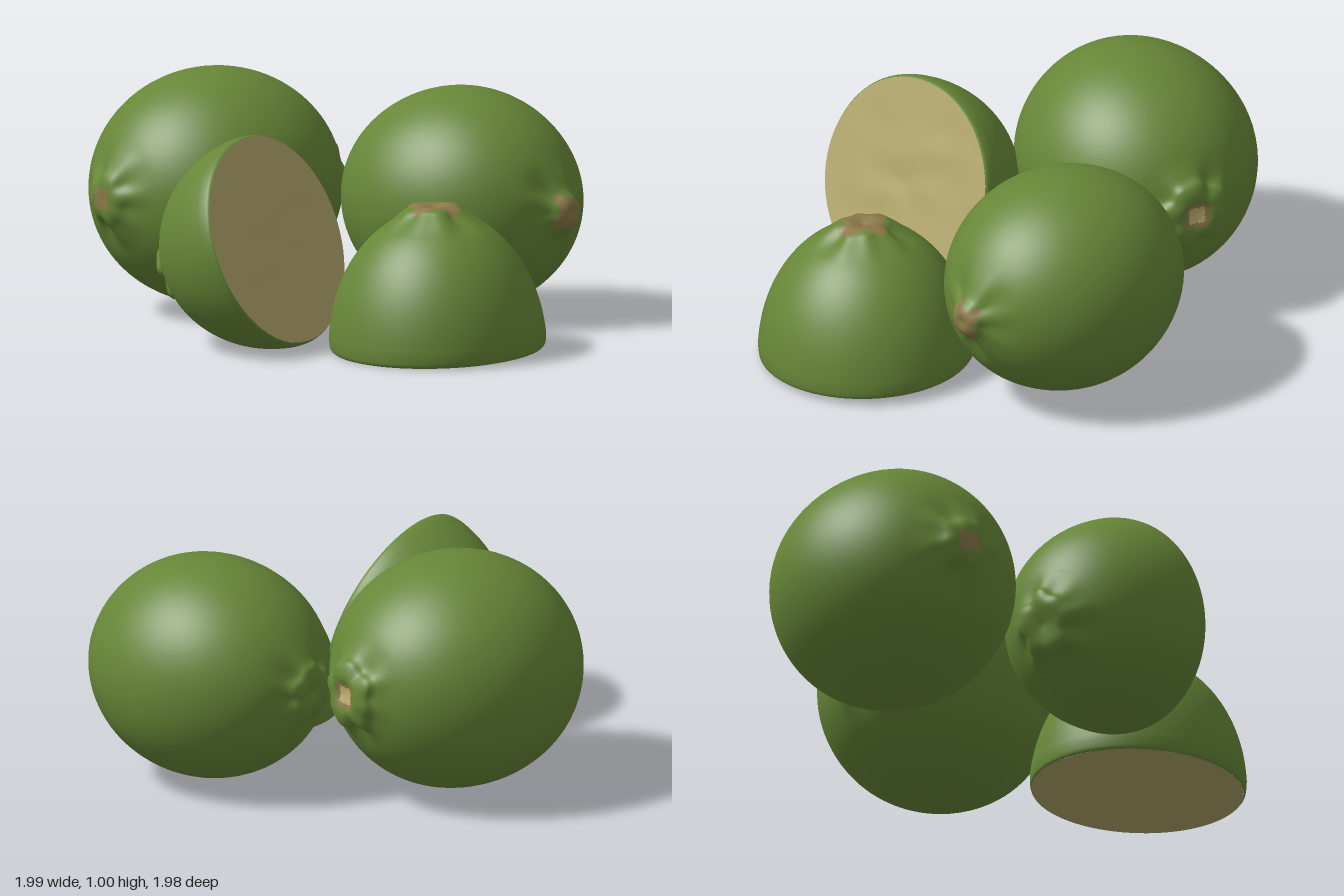
import * as THREE from 'three';
import { mergeVertices } from 'three/addons/utils/BufferGeometryUtils.js';

const mat = (name, color) => {
  const m = new THREE.MeshStandardMaterial({ color });
  m.name = name;
  return m;
};

export function createModel() {
  const peel = mat('green peel', 0x668637);
  const scar = mat('brown scar', 0x8a7848);
  const cream = mat('cream stem', 0xc3b474);
  const flesh = mat('pale flesh', 0xb3a66b);
  const model = new THREE.Group();
  model.name = 'limes';

  // Elliptic body profile, closed at each end by its own knob points [r, y]
  function profile({ a, b, top, bottom, half }) {
    const end = Math.acos(0.2 / b);
    const start = half ? 0.09 : -end;
    const pts = bottom.map(p => new THREE.Vector2(...p));
    for (let i = 0; i <= 16; i++) {
      const t = start + (end - start) * i / 16;
      pts.push(new THREE.Vector2(b * Math.cos(t), a * Math.sin(t)));
    }
    top.forEach(p => pts.push(new THREE.Vector2(...p)));
    const curve = new THREE.SplineCurve(pts).getPoints(90);
    curve.forEach(p => { p.x = Math.max(p.x, 0); });
    curve[curve.length - 1].x = 0;
    return curve;
  }

  // Peel: lathe with soft unevenness and pleats around the knobs
  function peelMesh(o) {
    let geo = new THREE.LatheGeometry(profile(o), 80);
    const p = geo.attributes.position;
    const v = new THREE.Vector3();
    for (let i = 0; i < p.count; i++) {
      v.fromBufferAttribute(p, i);
      const r = Math.hypot(v.x, v.z), f = Math.atan2(v.z, v.x) + o.seed;
      const nearEnd = Math.abs(v.y) > o.a * 0.75 ? Math.exp(-(((r - 0.13) / 0.06) ** 2)) : 0;
      const pleat = nearEnd * (0.07 * Math.sin(5 * f) + 0.05 * Math.sin(8 * f + 1));
      const k = 1 + pleat + 0.004 * Math.sin(3 * f + 5 * v.y) * Math.min(1, r * 4);
      p.setXYZ(i, v.x * k, v.y + Math.sign(v.y) * nearEnd * 0.007 * Math.sin(3 * f), v.z * k);
    }
    geo.deleteAttribute('uv');
    geo.deleteAttribute('normal');
    geo = mergeVertices(geo, 1e-5);
    geo.computeVertexNormals();

    // Sort the faces into peel, brown scar and cream stem
    const idx = geo.index.array, q = geo.attributes.position, sets = [[], [], []];
    for (let i = 0; i < idx.length; i += 3) {
      const tri = [idx[i], idx[i + 1], idx[i + 2]];
      v.set(0, 0, 0);
      tri.forEach(j => v.add(new THREE.Vector3().fromBufferAttribute(q, j)));
      v.divideScalar(3);
      const f = Math.atan2(v.z, v.x);
      const r = Math.hypot(v.x, v.z) / (1 + 0.18 * Math.sin(4 * f + o.seed));
      const limit = v.y > 0 ? o.topScar : o.bottomScar;
      const kind = v.y > 0.3 && r < o.stem ? 2 : Math.abs(v.y) > 0.3 && r < limit ? 1 : 0;
      sets[kind].push(...tri);
    }
    geo.setIndex(sets.flat());
    let start = 0;
    sets.forEach((s, i) => {
      if (s.length) geo.addGroup(start, s.length, i);
      start += s.length;
    });
    const mesh = new THREE.Mesh(geo, [peel, scar, cream]);
    mesh.name = 'peel';
    return mesh;
  }

  // Slightly rippled cut face, looking down the fruit's axis
  function cutFace(radius, seed) {
    const geo = new THREE.RingGeometry(0, radius, 80, 16);
    const p = geo.attributes.position;
    for (let i = 0; i < p.count; i++) {
      const x = p.getX(i), y = p.getY(i), r = Math.hypot(x, y) / radius;
      const wave = Math.sin(19 * x + seed + 3 * Math.sin(9 * y)) + Math.sin(15 * y + 2 * Math.sin(13 * x));
      p.setZ(i, (1 - r * r) * (0.003 * wave - 0.006 * Math.exp(-r * r * 40)));
    }
    geo.computeVertexNormals();
    geo.rotateX(Math.PI / 2);
    const mesh = new THREE.Mesh(geo, flesh);
    mesh.name = 'cutFace';
    return mesh;
  }

  const limes = [
    { name: 'largeLime', pos: [-0.46, 0.515, -0.495], axis: [0.87, 0, -0.49], a: 0.53, b: 0.483, seed: 0.4,
      top: [[0.15, 0.515], [0.13, 0.548], [0.08, 0.567], [0.035, 0.555], [0, 0.55]],
      bottom: [[0, -0.568], [0.05, -0.568], [0.09, -0.555], [0.13, -0.522]],
      topScar: 0.06, bottomScar: 0.05, stem: 0.04 },
    { name: 'rightLime', pos: [0.515, 0.485, -0.255], axis: [-0.72, 0, -0.7], a: 0.51, b: 0.455, seed: 2.1,
      top: [[0.13, 0.495], [0.1, 0.525], [0.05, 0.535], [0, 0.52]],
      bottom: [[0, -0.562], [0.035, -0.568], [0.065, -0.55], [0.1, -0.51]],
      topScar: 0, bottomScar: 0.075, stem: 0 },
    { name: 'leaningHalf', pos: [-0.31, 0.452, 0.43], axis: [-0.71, -0.33, -0.62], a: 0.5, b: 0.44, seed: 3.3, half: true,
      top: [[0.14, 0.492], [0.125, 0.525], [0.08, 0.545], [0, 0.535]],
      bottom: [[0.428, 0], [0.436, 0.012]],
      topScar: 0, bottomScar: 0, stem: 0 },
    { name: 'standingHalf', pos: [0.33, 0.02, 0.55], axis: [-0.03, 1, 0.03], a: 0.565, b: 0.44, seed: 5, half: true,
      top: [[0.13, 0.552], [0.1, 0.575], [0.055, 0.585], [0, 0.567]],
      bottom: [[0.428, 0], [0.436, 0.012]],
      topScar: 0.1, bottomScar: 0, stem: 0 },
  ];

  for (const o of limes) {
    const lime = new THREE.Group();
    lime.name = o.name;
    lime.add(peelMesh(o));
    if (o.half) lime.add(cutFace(0.429, o.seed));
    lime.position.set(...o.pos);
    lime.quaternion.setFromUnitVectors(new THREE.Vector3(0, 1, 0), new THREE.Vector3(...o.axis).normalize());
    model.add(lime);
  }
  return model;
}
